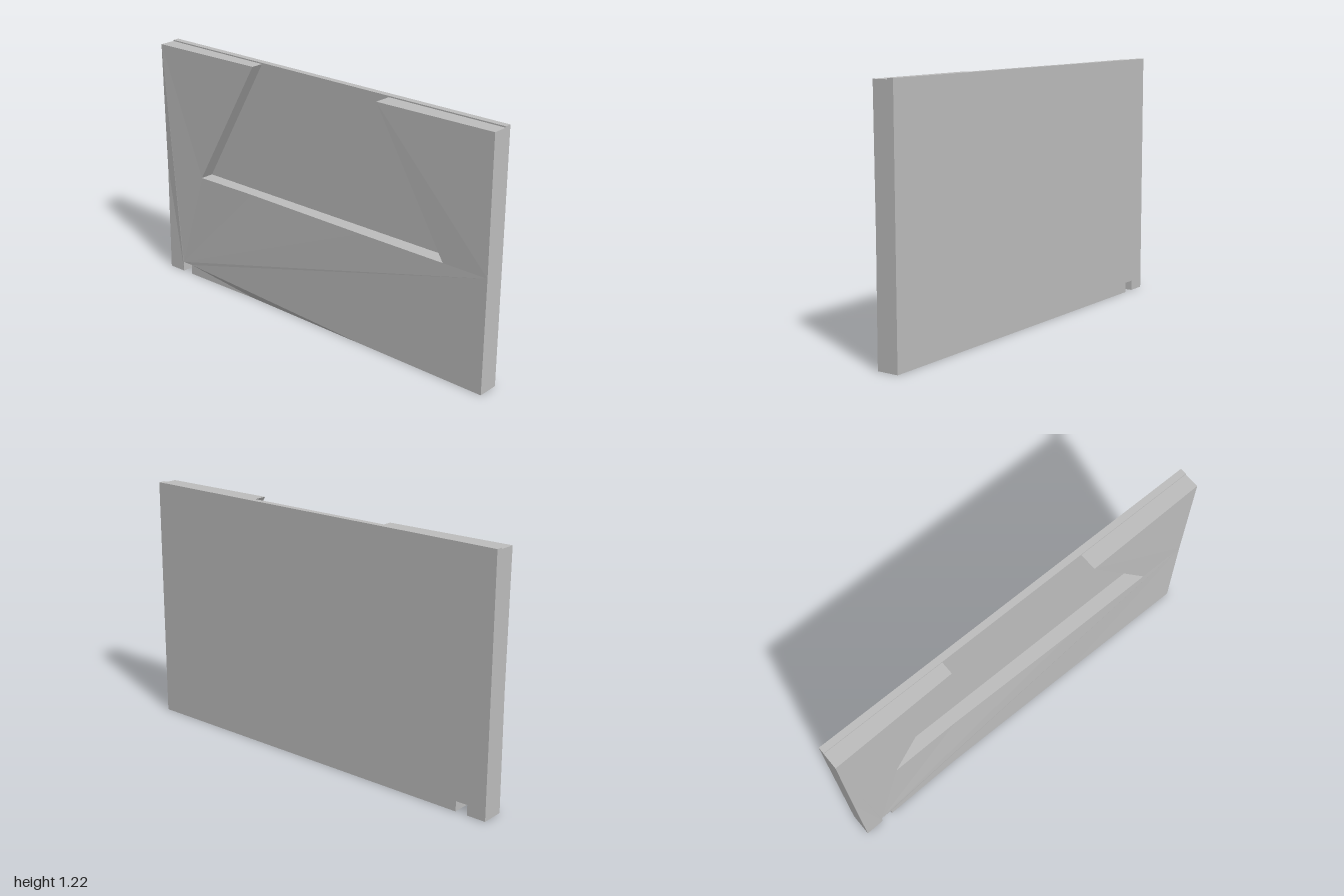
import * as THREE from 'three';

const BACK = -0.06, FLOOR = -0.028;
const LEDGE = 0.56, TOP = 1.21, LIP = 1.216;

// bottom edge, left to right, with the small square notch
const bottomEdge = [[-1, 0], [-0.905, 0], [-0.905, 0.05], [-0.845, 0.05], [-0.845, 0], [-0.4, 0], [0.3, 0], [1, 0]];

// depth of the gently hollowed front face, as [x, z] along three heights
const rows = [
  { y: 0, line: [[-1, 0.053], [-0.4, 0.037], [0.3, 0.042], [1, 0.047]] },
  { y: LEDGE, line: [[-1, 0.046], [-0.4, 0.036], [0.3, 0.043], [1, 0.044]] },
  { y: TOP, line: [[-1, 0.052], [-0.38, 0.036], [0.39, 0.058], [1, 0.047]] },
];

function along(line, x) {
  let i = 0;
  while (i < line.length - 2 && x > line[i + 1][0]) i++;
  const [a, b] = [line[i], line[i + 1]];
  return THREE.MathUtils.mapLinear(x, a[0], b[0], a[1], b[1]);
}

function frontDepth(x, y) {
  const i = y > LEDGE ? 1 : 0;
  const t = (y - rows[i].y) / (rows[i + 1].y - rows[i].y);
  return THREE.MathUtils.lerp(along(rows[i].line, x), along(rows[i + 1].line, x), t);
}

function extrude(points, z0, z1) {
  const shape = new THREE.Shape(points.map(([x, y]) => new THREE.Vector2(x, y)));
  const g = new THREE.ExtrudeGeometry(shape, { depth: z1 - z0, bevelEnabled: false });
  return g.translate(0, 0, z0);
}

export function createModel() {
  const group = new THREE.Group();
  group.name = 'panel';
  const grey = new THREE.MeshStandardMaterial({ color: 0xbebebe });
  grey.name = 'grey';

  // full backing plate, slightly taller than the front layer
  const back = new THREE.Mesh(extrude([...bottomEdge, [1, LIP], [-1, LIP]], BACK, FLOOR), grey);
  back.name = 'backPlate';
  group.add(back);

  // front layer with the trapezoid recess open at the top
  const outline = [
    ...bottomEdge, [1, LEDGE], [1, TOP],
    [0.39, TOP], [0.765, LEDGE], [0.3, LEDGE], [-0.4, LEDGE], [-0.75, LEDGE], [-0.38, TOP],
    [-1, TOP], [-1, LEDGE],
  ];
  const geometry = extrude(outline, FLOOR, 0.05);
  const p = geometry.attributes.position;
  for (let i = 0; i < p.count; i++) {
    if (p.getZ(i) > 0) p.setZ(i, frontDepth(p.getX(i), p.getY(i)));
  }
  geometry.computeVertexNormals();
  const front = new THREE.Mesh(geometry, grey);
  front.name = 'recessedFront';
  group.add(front);

  return group;
}
